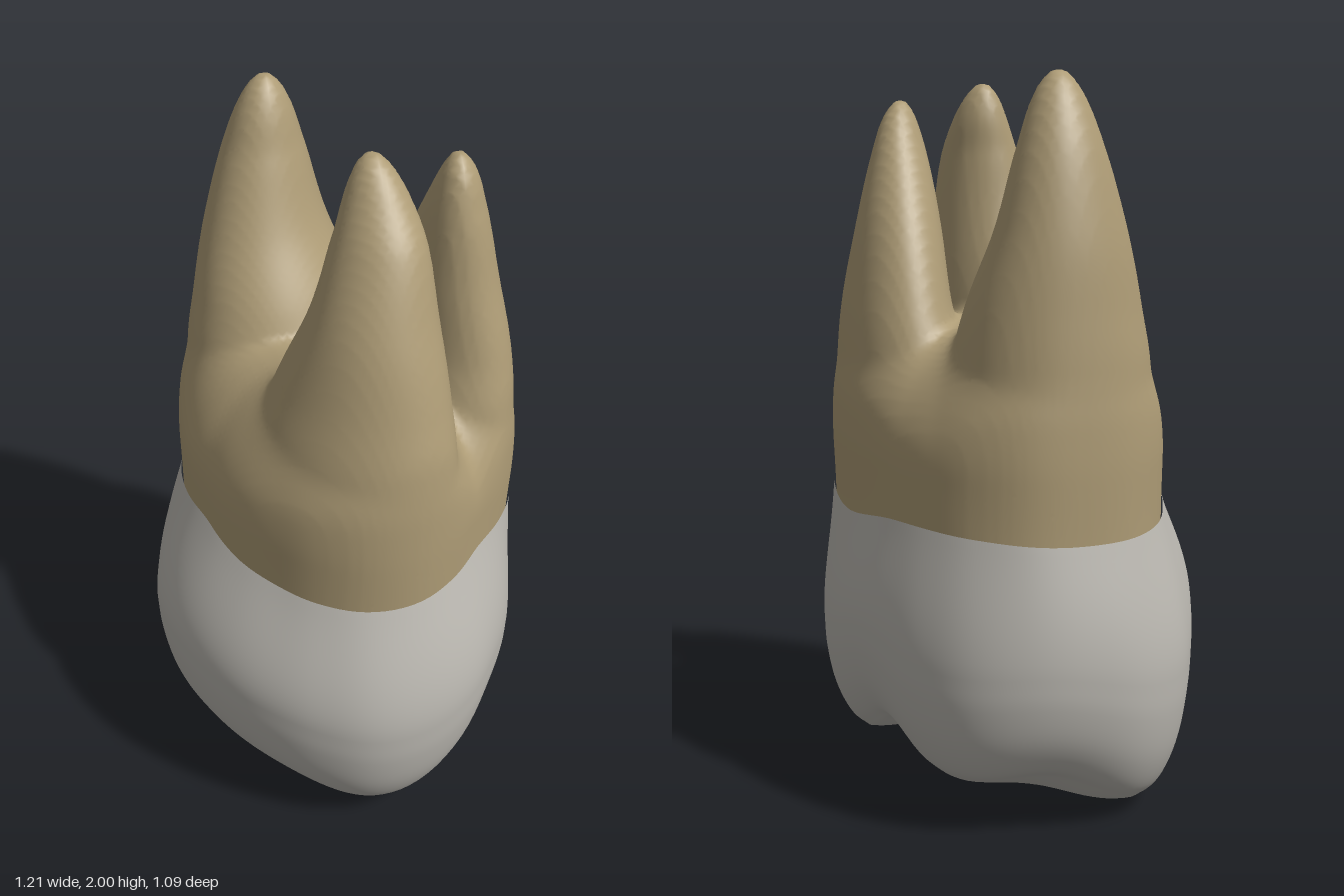
import * as THREE from 'three';

const enamel = new THREE.MeshStandardMaterial({ color: 0xbab7b0 });
enamel.name = 'enamel grey';
const dentine = new THREE.MeshStandardMaterial({ color: 0xae9c76 });
dentine.name = 'root tan';

// Outline radii at equal angles, from +x towards +z
const CROWN = [.592, .625, .638, .632, .596, .562, .538, .523, .519, .52, .523, .55,
  .597, .618, .616, .615, .602, .569, .54, .534, .544, .558, .553, .573];
const NECK = [.504, .52, .53, .515, .476, .434, .408, .39, .381, .394, .418, .457,
  .508, .546, .56, .57, .548, .513, .486, .475, .49, .512, .536, .52];
const NECK_Y = [.875, .845, .85, .87, .9, .87, .82, .81, .83, .84, .82, .87];

// Cusps and pits of the biting surface: x, z, depth, spread
const CUSPS = [[.29, .205, .268, .25], [-.39, -.01, .25, .25], [.32, -.24, .15, .24],
  [-.16, -.34, .15, .22], [-.03, .31, .1, .22], [-.27, .24, .07, .17], [.02, -.03, -.02, .13], [.06, -.38, -.03, .1]];

// Roots: rows of y, centre x, centre z, half width, half depth
const ROOTS = {
  inner: [[.7, -.22, -.13, .2, .2], [1.1, -.255, -.15, .265, .28], [1.25, -.26, -.15, .258, .275],
    [1.4, -.28, -.165, .224, .245], [1.6, -.32, -.185, .163, .185], [1.8, -.33, -.2, .11, .122],
    [1.9, -.325, -.2, .078, .086], [2, -.32, -.2, 0, 0]],
  front: [[.7, .18, .15, .2, .15], [1.1, .2, .18, .3, .21], [1.25, .205, .173, .284, .202],
    [1.4, .215, .158, .24, .182], [1.6, .23, .137, .17, .152], [1.8, .22, .1, .12, .105],
    [1.9, .195, .075, .082, .075], [2, .17, .06, 0, 0]],
  back: [[.7, .18, -.18, .18, .14], [1.1, .235, -.22, .26, .19], [1.25, .24, -.22, .25, .18],
    [1.4, .25, -.222, .214, .155], [1.6, .26, -.2, .155, .13], [1.8, .285, -.167, .09, .09],
    [1.89, .295, -.155, .055, .06], [1.95, .295, -.15, 0, 0]],
};
const BACK_SLANT = .28; // the back root's section runs askew

// Smooth periodic lookup by angle
function around(list, angle) {
  const n = list.length;
  const t = ((angle / (2 * Math.PI)) % 1 + 1) % 1 * n;
  const i = Math.floor(t), f = t - i;
  const [a, b, c, d] = [-1, 0, 1, 2].map(k => list[(i + k + n) % n]);
  return b + .5 * f * (c - a + f * (2 * a - 5 * b + 4 * c - d + f * (3 * (b - c) + d - a)));
}

function smoothMin(a, b, k) {
  const h = Math.max(k - Math.abs(a - b), 0) / k;
  return Math.min(a, b) - h * h * k / 4;
}

function biteHeight(x, z) {
  let y = .275;
  for (const [cx, cz, depth, s] of CUSPS) y -= depth * Math.exp(-((Math.hypot(x - cx, z - cz) / s) ** 2.6));
  return y;
}

// Crown: rings run from the middle of the biting surface to the rim, then up to the neck
function crownGeometry() {
  const N = 128, INNER = 34, SIDE = 36, RIM = .78;
  const rise = new THREE.CatmullRomCurve3([[RIM, 0], [.865, .06], [.945, .19], [.99, .36], [1, .5]]
    .map(([s, t]) => new THREE.Vector3(s, t, 0)));
  const pos = [], idx = [];
  for (let j = 0; j <= INNER + SIDE; j++) {
    for (let i = 0; i < N; i++) {
      const a = i / N * 2 * Math.PI, c = Math.cos(a), s = Math.sin(a);
      const R = around(CROWN, a), neck = around(NECK, a) * 1.004, top = around(NECK_Y, a);
      let r, y;
      if (j <= INNER) {
        r = R * RIM * j / INNER;
        y = biteHeight(r * c, r * s);
      } else {
        const v = (j - INNER) / SIDE;
        const rim = biteHeight(R * RIM * c, R * RIM * s);
        let t;
        if (v < .6) {
          const p = rise.getPoint(v / .6);
          r = R * p.x;
          t = p.y;
        } else {
          const w = (v - .6) / .4;
          t = .5 + .5 * w;
          r = R + (neck - R) * (w * w * (1.7 - .7 * w));
        }
        y = rim + (top - rim) * t;
      }
      pos.push(r * c, y, r * s);
      if (j > 0) {
        const k = (i + 1) % N, lo = (j - 1) * N, hi = j * N;
        idx.push(lo + i, hi + i, hi + k);
        if (j > 1) idx.push(lo + i, hi + k, lo + k);
      }
    }
  }
  return finish(pos, idx);
}

function finish(pos, idx) {
  const g = new THREE.BufferGeometry();
  g.setAttribute('position', new THREE.Float32BufferAttribute(pos, 3));
  g.setIndex(idx);
  g.computeVertexNormals();
  return g;
}

// Smooth value of one column of a root table at height y
function along(rows, y, value) {
  const last = rows.length - 1;
  let i = 0;
  while (i < last - 1 && y > rows[i + 1][0]) i++;
  const slope = k => {
    const a = rows[Math.max(k - 1, 0)], b = rows[Math.min(k + 1, last)];
    return (value(b) - value(a)) / (b[0] - a[0]);
  };
  const h = rows[i + 1][0] - rows[i][0], t = Math.min(Math.max((y - rows[i][0]) / h, 0), 1), u = 1 - t;
  return u * u * ((1 + 2 * t) * value(rows[i]) + t * h * slope(i))
    + t * t * ((1 + 2 * u) * value(rows[i + 1]) - u * h * slope(i + 1));
}

// Centre and half sizes of a root at height y
function rootSection(rows, y) {
  const size = k => Math.sqrt(Math.max(along(rows, y, row => row[k] ** 2), 1.6e-5));
  return { x: along(rows, y, row => row[1]), z: along(rows, y, row => row[2]),
    rx: size(3), rz: size(4), over: y - rows[rows.length - 1][0] };
}

function sectionField(s, x, z, slant) {
  const dx = x - s.x, dz = z - s.z - slant * dx;
  const d = (Math.hypot(dx / s.rx, dz / s.rz) - 1) * Math.min(s.rx, s.rz);
  return Math.max(d, s.over);
}

// Domed trunk below the fork, blended with the three roots and kept within the neck outline
function field([inner, front, back], x, y, z) {
  const dome = Math.sqrt(Math.max(0, 1 - (Math.max(0, y - .98) / .38) ** 2));
  const r = Math.hypot(x, z), neck = around(NECK, Math.atan2(z, x));
  const trunk = Math.max(r - neck * dome, y - 1.36);
  const pair = smoothMin(sectionField(front, x, z, 0), sectionField(back, x, z, BACK_SLANT), .025);
  const roots = smoothMin(pair, sectionField(inner, x, z, 0), .07);
  return -smoothMin(-smoothMin(roots, trunk, .1), neck - r + .006, .024);
}

// Skin of the field: one point per crossed cell, one quad per crossed edge
function rootGeometry() {
  const step = .017, min = [-.61, .7, -.58], n = [73, 79, 69];
  const stride = [1, n[0], n[0] * n[1]];
  const val = new Float32Array(n[0] * n[1] * n[2]);
  const cell = new Int32Array(val.length).fill(-1);
  const levels = Array.from({ length: n[1] }, (_, j) =>
    [ROOTS.inner, ROOTS.front, ROOTS.back].map(rows => rootSection(rows, min[1] + j * step)));
  const each = fn => {
    for (let k = 0; k < n[2]; k++) for (let j = 0; j < n[1]; j++) for (let i = 0; i < n[0]; i++)
      fn([i, j, k], i + j * stride[1] + k * stride[2]);
  };
  each((p, id) => { val[id] = field(levels[p[1]], ...p.map((q, a) => min[a] + q * step)); });
  const pos = [], idx = [];
  each((p, id) => {
    if (p.some((q, a) => q >= n[a] - 1)) return;
    const sum = [0, 0, 0];
    let count = 0;
    for (let c = 0; c < 8; c++) for (let a = 0; a < 3; a++) {
      if (c >> a & 1) continue;
      const o = [c & 1, c >> 1 & 1, c >> 2 & 1];
      const from = id + o[0] + o[1] * stride[1] + o[2] * stride[2];
      const u = val[from], v = val[from + stride[a]];
      if ((u < 0) === (v < 0)) continue;
      o[a] = u / (u - v);
      for (let q = 0; q < 3; q++) sum[q] += o[q];
      count++;
    }
    if (!count) return;
    cell[id] = pos.length / 3;
    for (let q = 0; q < 3; q++) pos.push(min[q] + (p[q] + sum[q] / count) * step);
  });
  each((p, id) => {
    for (let a = 0; a < 3; a++) {
      const b = (a + 1) % 3, c = (a + 2) % 3;
      if (p[a] >= n[a] - 1 || p[b] < 1 || p[c] < 1) continue;
      const inside = val[id] < 0;
      if (inside === (val[id + stride[a]] < 0)) continue;
      const q = [id, id - stride[b], id - stride[b] - stride[c], id - stride[c]].map(m => cell[m]);
      if (q.some(m => m < 0)) continue;
      if (!inside) q.reverse();
      idx.push(q[0], q[1], q[2], q[0], q[2], q[3]);
    }
  });
  return finish(pos, idx);
}

export function createModel() {
  const group = new THREE.Group();
  group.name = 'molar';
  const crown = new THREE.Mesh(crownGeometry(), enamel);
  crown.name = 'crown';
  const roots = new THREE.Mesh(rootGeometry(), dentine);
  roots.name = 'roots';
  group.add(crown, roots);
  return group;
}
